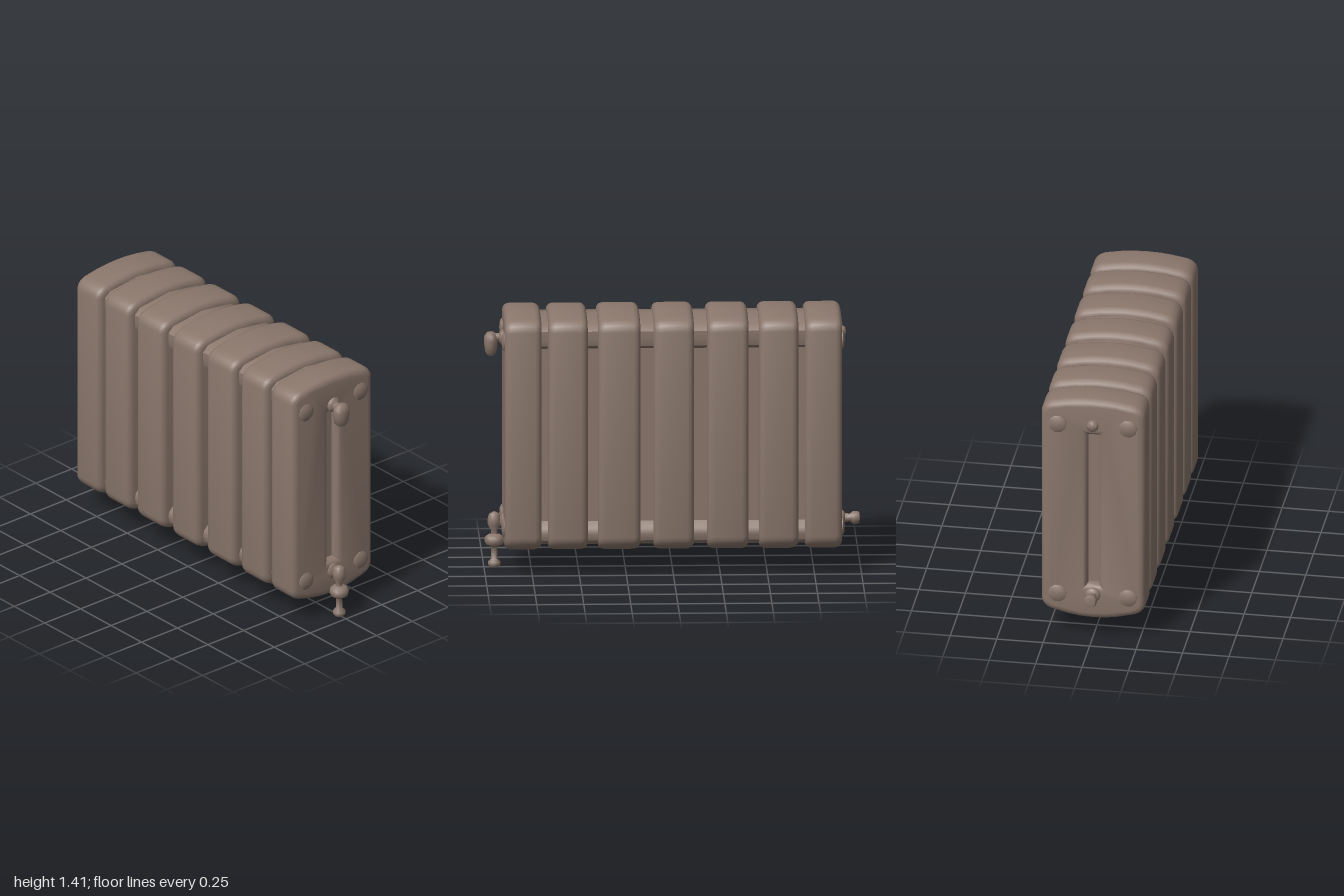
import * as THREE from 'three';
import { toCreasedNormals } from 'three/addons/utils/BufferGeometryUtils.js';

const iron = new THREE.MeshStandardMaterial({ color: 0x8a776c });
iron.name = 'warm grey iron';

const BEVEL = 0.035;

// Side outline of one section (horizontal = depth, vertical = height)
function sectionShape(slotted) {
  const s = new THREE.Shape();
  s.moveTo(-0.28, 0.21);
  s.quadraticCurveTo(-0.275, 0.15, -0.2, 0.137);
  s.quadraticCurveTo(0, 0.077, 0.2, 0.137);
  s.quadraticCurveTo(0.275, 0.15, 0.28, 0.21);
  s.lineTo(0.28, 1.32);
  s.quadraticCurveTo(0.275, 1.38, 0.2, 1.39);
  s.quadraticCurveTo(0, 1.43, -0.2, 1.39);
  s.quadraticCurveTo(-0.275, 1.38, -0.28, 1.32);
  s.closePath();
  if (slotted) {
    const slot = [[-0.03, 0.31], [-0.03, 1.2], [0.03, 1.2], [0.03, 0.31]];
    s.holes.push(new THREE.Path(slot.map(([x, y]) => new THREE.Vector2(x, y))));
  }
  return s;
}

// Extrude a side outline between two x positions
function extrudeAlongX(shape, x0, x1, bevel) {
  const geo = new THREE.ExtrudeGeometry(shape, {
    depth: x1 - x0 - 2 * bevel,
    curveSegments: 6,
    bevelEnabled: bevel > 0,
    bevelSize: bevel,
    bevelThickness: bevel,
    bevelOffset: -bevel,
    bevelSegments: 3,
  });
  geo.rotateY(Math.PI / 2);
  geo.translate(x0 + bevel, 0, 0);
  return toCreasedNormals(geo, 0.65);
}

function add(parent, name, geo, x = 0, y = 0, z = 0) {
  const mesh = new THREE.Mesh(geo, iron);
  mesh.name = name;
  mesh.position.set(x, y, z);
  parent.add(mesh);
  return mesh;
}

// Turned part from [radius, height] pairs; side 0 = upright, +1 / -1 = along +x / -x
function turned(points, side = 0, sides = 12) {
  const geo = new THREE.LatheGeometry(points.map(([r, h]) => new THREE.Vector2(r, h)), sides);
  geo.rotateZ(-side * Math.PI / 2);
  return toCreasedNormals(geo, 0.9);
}

export function createModel() {
  const model = new THREE.Group();
  model.name = 'radiator';

  // Seven cast sections; the two end ones have a sunken slot
  const spans = [[-0.897, -0.7], [-0.665, -0.455], [-0.4, -0.18], [-0.11, 0.105],
    [0.175, 0.4], [0.455, 0.665], [0.7, 0.897]];
  spans.forEach(([a, b], i) => {
    const end = i === 0 || i === spans.length - 1;
    add(model, end ? 'endSection' : 'section', extrudeAlongX(sectionShape(end), a, b, BEVEL));
  });

  // Connecting core: wide hubs at top and bottom, recessed between
  const half = [[0, 0.13], [0.19, 0.16], [0.225, 0.185], [0.235, 0.22], [0.228, 0.25], [0.19, 0.285],
    [0.19, 1.22], [0.228, 1.24], [0.235, 1.27], [0.235, 1.32], [0.2, 1.352], [0, 1.378]];
  const mirrored = half.slice(1, -1).reverse().map(([z, y]) => [-z, y]);
  const core = new THREE.Shape([...half, ...mirrored].map(([z, y]) => new THREE.Vector2(z, y)));
  add(model, 'connectingCore', extrudeAlongX(core, -0.845, 0.845, 0));

  // Domed plugs on both ends
  for (const side of [-1, 1]) {
    for (const y of [0.25, 1.26]) {
      for (const z of [-0.19, 0.19]) {
        add(model, 'endPlug',
          turned([[0.05, -0.01], [0.05, 0.006], [0.035, 0.014], [0, 0.018]], side, 10), side * 0.895, y, z);
      }
    }
  }

  // Left end: small vent at the top, pipe stub at the bottom
  add(model, 'ventPlug',
    turned([[0.03, -0.03], [0.032, 0.015], [0.022, 0.027], [0, 0.03]], -1), -0.895, 1.265, 0);
  add(model, 'pipeStub', turned([[0.04, -0.04], [0.042, 0.01], [0.036, 0.018], [0.024, 0.024], [0.022, 0.05],
    [0.034, 0.066], [0.036, 0.085], [0.03, 0.1], [0, 0.105]], -1), -0.895, 0.255, 0);

  // Right end, top: stem with a hanging oval handle
  const topValve = new THREE.Group();
  topValve.name = 'topValve';
  add(topValve, 'valveStem',
    turned([[0.04, -0.04], [0.042, 0.01], [0.034, 0.018], [0.024, 0.024], [0.024, 0.07]], 1), 0.895, 1.245, 0);
  add(topValve, 'valveHandle', turned([[0, -0.066], [0.024, -0.062], [0.04, -0.045], [0.047, -0.01],
    [0.05, 0.02], [0.046, 0.045], [0.028, 0.062], [0, 0.067]]).scale(0.74, 1, 1), 0.963, 1.21, 0);
  model.add(topValve);

  // Right end, bottom: stem and upright turned valve reaching the floor
  const bottomValve = new THREE.Group();
  bottomValve.name = 'bottomValve';
  add(bottomValve, 'valveStem',
    turned([[0.04, -0.04], [0.042, 0.008], [0.032, 0.014], [0.02, 0.02], [0.02, 0.05]], 1), 0.895, 0.25, 0);
  add(bottomValve, 'valveBody', turned([[0, 0], [0.026, 0.002], [0.034, 0.014], [0.034, 0.028], [0.018, 0.046],
    [0.016, 0.105], [0.026, 0.116], [0.046, 0.124], [0.052, 0.142], [0.05, 0.162], [0.036, 0.174],
    [0.018, 0.18], [0.018, 0.198], [0.034, 0.228], [0.036, 0.258], [0.028, 0.288], [0, 0.302]]), 0.945, 0, 0);
  model.add(bottomValve);

  return model;
}
